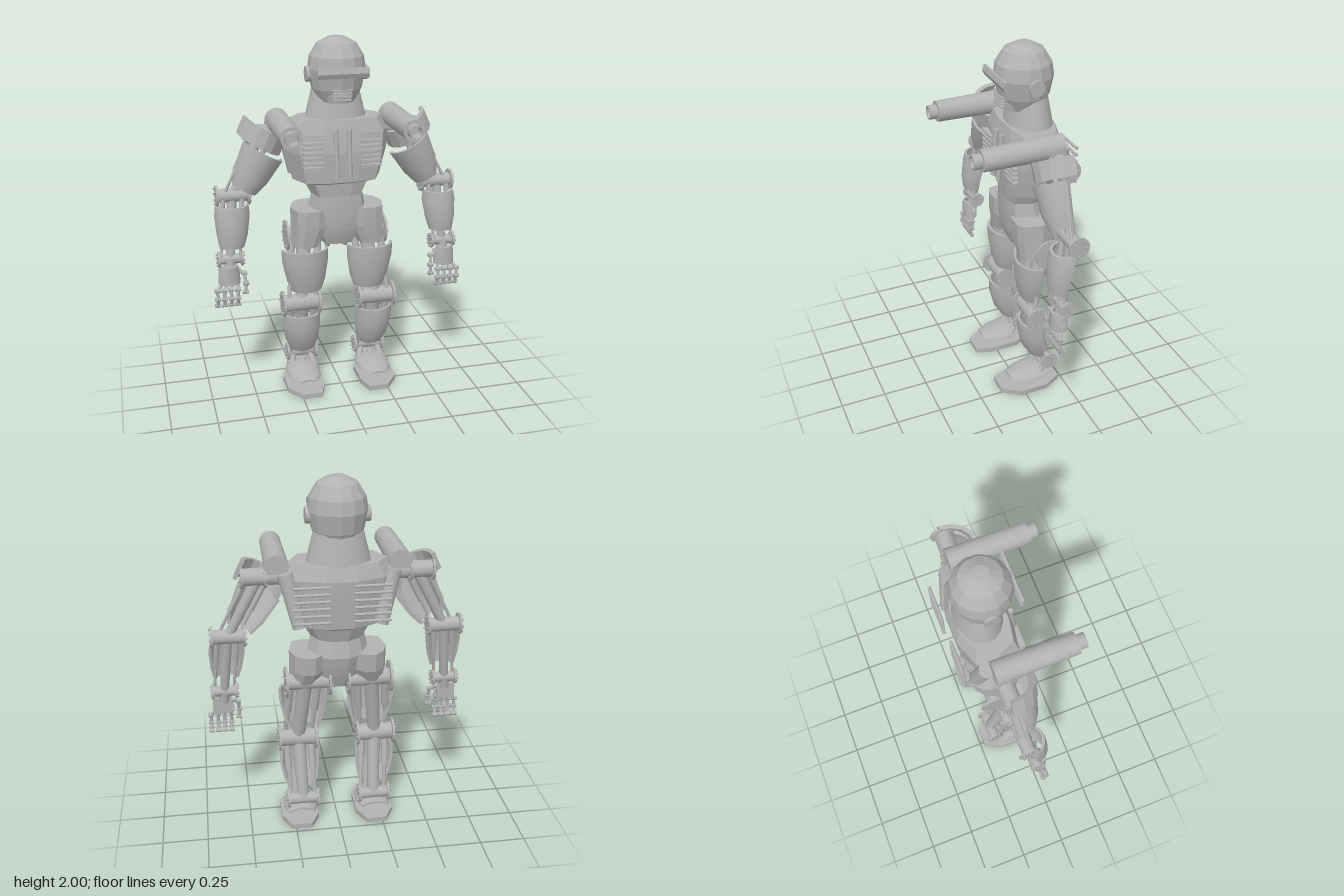
import * as THREE from 'three';
import { toCreasedNormals } from 'three/addons/utils/BufferGeometryUtils.js';

const V = (x, y, z) => new THREE.Vector3(x, y, z);
const X = V(1, 0, 0), Y = V(0, 1, 0), Z = V(0, 0, 1);

export function createModel() {
  const metal = new THREE.MeshStandardMaterial({ color: 0xb2b2b2, side: THREE.DoubleSide });
  metal.name = 'greyMetal';

  const add = (parent, name, geo, crease = 0.6) => {
    const mesh = new THREE.Mesh(toCreasedNormals(geo, crease), metal);
    mesh.name = name;
    parent.add(mesh);
    return mesh;
  };
  const box = (parent, name, w, h, d, x, y, z) =>
    add(parent, name, new THREE.BoxGeometry(w, h, d).translate(x, y, z));

  // Cylinder between two points
  const strut = (parent, name, a, b, r1, r2 = r1, sides = 14) => {
    const dir = b.clone().sub(a);
    const geo = new THREE.CylinderGeometry(r2, r1, dir.length(), sides);
    geo.applyQuaternion(new THREE.Quaternion().setFromUnitVectors(Y, dir.clone().normalize()));
    const mid = a.clone().add(b).multiplyScalar(0.5);
    return add(parent, name, geo.translate(mid.x, mid.y, mid.z));
  };

  // Skin over closed cross-sections, with both ends capped
  const loft = (parent, name, rows, crease = 0.6) => {
    const n = rows[0].length, last = rows.length - 1, idx = [];
    const quad = (a, b, c, d) => idx.push(a, b, c, a, c, d);
    for (let i = 0; i < last; i++)
      for (let j = 0; j < n; j++) {
        const k = (j + 1) % n;
        quad(i * n + j, i * n + k, (i + 1) * n + k, (i + 1) * n + j);
      }
    for (let k = 0; k < n / 2 - 1; k++) {
      const t = last * n;
      quad(n - 1 - k, n - 2 - k, k + 1, k);
      quad(t + k, t + k + 1, t + n - 2 - k, t + n - 1 - k);
    }
    const geo = new THREE.BufferGeometry().setFromPoints(rows.flat());
    geo.setIndex(idx);
    return add(parent, name, geo, crease);
  };

  // Half-ring section of an armour shell: half width w along u, depth d along n
  const arch = (c, w, d, u = X, n = Z, thick = 0.015, steps = 12) => {
    const pts = [];
    const point = (i, k) => {
      const a = (i / steps - 0.5) * Math.PI;
      return c.clone().addScaledVector(u, Math.sin(a) * (w - k)).addScaledVector(n, Math.cos(a) * (d - k));
    };
    for (let i = 0; i <= steps; i++) pts.push(point(i, 0));
    for (let i = steps; i >= 0; i--) pts.push(point(i, thick));
    return pts;
  };

  // Ten-sided body section: half width, front z, back z, height, centre x
  const section = (hx, front, back, y, cx = 0) => {
    const half = [[0.35, 1], [0.78, 0.92], [1, 0.5], [0.75, 0.17], [0.28, 0]]
      .map(([a, t]) => [a * hx, back + (front - back) * t]);
    return [...half.map(([x, z]) => V(cx + x, y, z)), ...half.reverse().map(([x, z]) => V(cx - x, y, z))];
  };

  // Hinge along x: barrel, end discs and bolts
  const joint = (parent, name, x0, x1, y, z, r, R) => {
    const g = new THREE.Group();
    g.name = name;
    parent.add(g);
    strut(g, 'barrel', V(x0, y, z), V(x1, y, z), r, r, 20);
    for (const [x, s] of [[x0, -1], [x1, 1]]) {
      strut(g, 'disc', V(x - s * 0.012, y, z), V(x, y, z), R, R, 20);
      for (let i = 0; i < 8; i++) {
        const a = i * Math.PI / 4, by = y + Math.cos(a) * R * 0.78, bz = z + Math.sin(a) * R * 0.78;
        strut(g, 'bolt', V(x, by, bz), V(x + s * 0.008, by, bz), 0.006, 0.006, 6);
      }
    }
  };

  // Limb core with a piston on each side
  const limb = (parent, name, a, b, r, off) => {
    const g = new THREE.Group();
    g.name = name;
    parent.add(g);
    strut(g, 'core', a, b, r, r * 0.85);
    for (const s of [-1, 1]) {
      const p = a.clone().add(V(s * off, 0, 0.02)), q = b.clone().add(V(s * off, 0, 0.02));
      const m = p.clone().lerp(q, 0.55);
      strut(g, 'pistonSleeve', p, m, r * 0.5);
      strut(g, 'pistonRod', m, q, r * 0.28);
    }
  };

  const model = new THREE.Group();
  model.name = 'robot';

  // Head
  const skull = [[0, 1.66], [0.1, 1.66], [0.135, 1.73], [0.155, 1.83], [0.145, 1.9], [0.105, 1.965], [0.045, 1.997], [0, 2]];
  add(model, 'head', new THREE.LatheGeometry(skull.map(p => new THREE.Vector2(...p)), 14).translate(0, 0, -0.105), 0.05);
  loft(model, 'visor', [[1.8, 0.052], [1.825, 0.064], [1.855, 0.056]].map(([y, z]) =>
    [V(0.137, y, z), V(0.137, y, z - 0.014), V(-0.137, y, z - 0.014), V(-0.137, y, z)]));
  loft(model, 'jaw', [[1.665, 0.075, 0.08], [1.7, 0.083, 0.09], [1.755, 0.088, 0.088]].map(([y, w, d]) =>
    arch(V(0, y, -0.06), w, d)), 0.3);
  for (let i = 0; i < 4; i++) box(model, 'mouthSlat', 0.11 - i * 0.006, 0.008, 0.02, 0, 1.735 - i * 0.017, 0.026);
  const neck = new THREE.CylinderGeometry(0.13, 0.17, 0.16, 20);
  add(model, 'neck', neck.scale(1, 1, 0.72).translate(0, 1.645, -0.133));

  // Torso and pelvis
  loft(model, 'torso', [[0.145, 0.005, -0.215, 1.15], [0.185, 0.012, -0.24, 1.225], [0.245, 0.025, -0.25, 1.235],
    [0.29, 0.032, -0.27, 1.4], [0.3, 0.02, -0.275, 1.5], [0.255, 0, -0.25, 1.575]].map(a => section(...a)), 0.15);
  loft(model, 'pelvis', [[0.09, -0.03, -0.17, 0.865], [0.14, 0, -0.21, 0.95], [0.165, 0.008, -0.235, 1.06],
    [0.145, 0.005, -0.215, 1.15]].map(a => section(...a)), 0.3);

  // One side of the body, mirrored for the other
  const side = new THREE.Group();
  side.name = 'leftSide';
  model.add(side);

  strut(side, 'earDisc', V(0.13, 1.805, -0.11), V(0.166, 1.805, -0.11), 0.042, 0.042, 16);
  strut(side, 'chestBar', V(0.036, 1.27, 0.05), V(0.036, 1.53, 0.03), 0.013);
  for (let i = 0; i < 6; i++) {
    box(side, 'chestSlat', 0.115, 0.013, 0.03, 0.155, 1.46 - i * 0.027, 0.026);
    strut(side, 'backRod', V(0.06, 1.485 - i * 0.038, -0.297), V(0.25, 1.485 - i * 0.038, -0.297), 0.008, 0.008, 8);
  }

  // Shoulder cannon and its brace
  const barrel = [[0, -0.17], [0.063, -0.17], [0.057, 0.26], [0.039, 0.26], [0.039, 0.305], [0.03, 0.305], [0.03, 0.24], [0, 0.24]];
  add(side, 'cannon', new THREE.LatheGeometry(barrel.map(p => new THREE.Vector2(...p)), 24)
    .rotateX(Math.PI / 2).translate(0.318, 1.558, 0));
  strut(side, 'cannonBrace', V(0.21, 1.25, -0.225), V(0.28, 1.53, -0.19), 0.04);

  // Arm
  const u = V(Math.cos(0.52), Math.sin(0.52), 0);
  strut(side, 'shoulderAxle', V(0.24, 1.5, -0.13), V(0.4, 1.5, -0.13), 0.045);
  joint(side, 'shoulderJoint', 0.37, 0.5, 1.5, -0.13, 0.045, 0.06);
  loft(side, 'shoulderPad', [arch(V(0.425, 1.44, -0.15), 0.131, 0.165, u, Z, 0.022, 8),
    arch(V(0.383, 1.53, -0.15), 0.131, 0.17, u, Z, 0.022, 8)], 0.3);
  limb(side, 'upperArm', V(0.42, 1.48, -0.13), V(0.575, 1.17, -0.11), 0.03, 0.055);
  loft(side, 'upperArmPlate', [[0.515, 1.205, 0.072, 0.075], [0.475, 1.28, 0.1, 0.1], [0.405, 1.41, 0.12, 0.115]]
    .map(([x, y, w, d]) => arch(V(x, y, -0.1), w, d, u)));
  joint(side, 'elbow', 0.485, 0.668, 1.17, -0.11, 0.038, 0.058);
  limb(side, 'forearm', V(0.58, 1.17, -0.11), V(0.61, 0.825, -0.055), 0.028, 0.052);
  loft(side, 'forearmPlate', [[0.597, 0.9, -0.05, 0.068, 0.06], [0.592, 0.97, -0.06, 0.085, 0.08],
    [0.587, 1.07, -0.08, 0.096, 0.09], [0.585, 1.125, -0.09, 0.09, 0.09]]
    .map(([x, y, z, w, d]) => arch(V(x, y, z), w, d)));
  joint(side, 'wrist', 0.54, 0.678, 0.825, -0.055, 0.028, 0.042);

  // Hand
  strut(side, 'handStem', V(0.61, 0.83, -0.055), V(0.615, 0.76, -0.045), 0.03);
  box(side, 'palm', 0.1, 0.09, 0.03, 0.625, 0.735, -0.045);
  loft(side, 'handPlate', [[0.69, 0.06], [0.75, 0.058], [0.795, 0.045]].map(([y, w]) =>
    arch(V(0.62, y, -0.045), w, 0.055)));
  const digit = (name, pts) => {
    const g = new THREE.Group();
    g.name = name;
    side.add(g);
    pts.forEach((p, i) => {
      strut(g, 'knuckle', p.clone().add(V(-0.016, 0, 0)), p.clone().add(V(0.016, 0, 0)), 0.012, 0.012, 10);
      if (i) strut(g, 'phalanx', pts[i - 1], p, 0.01, 0.009, 8);
    });
  };
  for (let i = 0; i < 4; i++) {
    const x = 0.58 + i * 0.025, f = 0.58 + i * 0.037;
    digit('finger', [V(x, 0.7, -0.035), V(f, 0.66, -0.012), V(f, 0.61, -0.008), V(f, 0.567, -0.025)]);
  }
  digit('thumb', [V(0.575, 0.765, -0.045), V(0.54, 0.745, -0.03), V(0.534, 0.69, -0.015), V(0.537, 0.64, -0.012)]);

  // Leg
  loft(side, 'hipBlock', [[0.075, -0.01, -0.17, 0.86, 0.185], [0.1, 0.008, -0.23, 0.97, 0.162], [0.103, 0.01, -0.24, 1.075, 0.158]]
    .map(a => section(...a)), 0.2);
  joint(side, 'hipJoint', 0.045, 0.287, 0.9, -0.145, 0.045, 0.085);
  limb(side, 'thigh', V(0.18, 0.9, -0.145), V(0.215, 0.515, -0.07), 0.042, 0.075);
  loft(side, 'thighPlate', [[0.18, 0.585, 0.085, 0.065], [0.183, 0.65, 0.11, 0.085], [0.187, 0.76, 0.13, 0.1], [0.188, 0.835, 0.133, 0.1]]
    .map(([x, y, w, d]) => arch(V(x, y, -0.09), w, d)));
  joint(side, 'knee', 0.112, 0.325, 0.515, -0.07, 0.048, 0.072);
  limb(side, 'shin', V(0.215, 0.515, -0.07), V(0.2, 0.165, -0.16), 0.038, 0.068);
  loft(side, 'shinPlate', [[0.205, 0.205, -0.125, 0.07, 0.06], [0.208, 0.27, -0.11, 0.095, 0.085],
    [0.213, 0.37, -0.1, 0.11, 0.1], [0.213, 0.445, -0.09, 0.108, 0.09]]
    .map(([x, y, z, w, d]) => arch(V(x, y, z), w, d)));
  joint(side, 'ankle', 0.115, 0.29, 0.165, -0.16, 0.032, 0.05);

  // Foot
  for (const s of [-1, 1])
    strut(side, 'ankleStrut', V(0.205 + s * 0.045, 0.16, -0.155), V(0.205 + s * 0.07, 0.085, -0.1), 0.018);
  strut(side, 'soleStrut', V(0.205, 0.13, -0.12), V(0.21, 0.03, -0.04), 0.018);
  loft(side, 'instep', [[0.065, 0.07, 0.05, 0.015], [0, 0.066, 0.09, 0.04], [-0.1, 0.07, 0.1, 0.055], [-0.19, 0.085, 0.075, 0.03]]
    .map(([z, y, w, d]) => arch(V(0.21, y, z), w, d, X, Y, 0.012)));
  const sole = [[0.25, 0.125], [0.32, 0.03], [0.32, -0.13], [0.27, -0.225], [0.16, -0.225], [0.11, -0.13], [0.11, 0.04], [0.14, 0.125]];
  loft(side, 'sole', [0, 0.03].map(y => sole.map(([x, z]) => V(x, y, z))));

  const other = side.clone();
  other.name = 'rightSide';
  other.scale.x = -1;
  model.add(other);
  return model;
}
